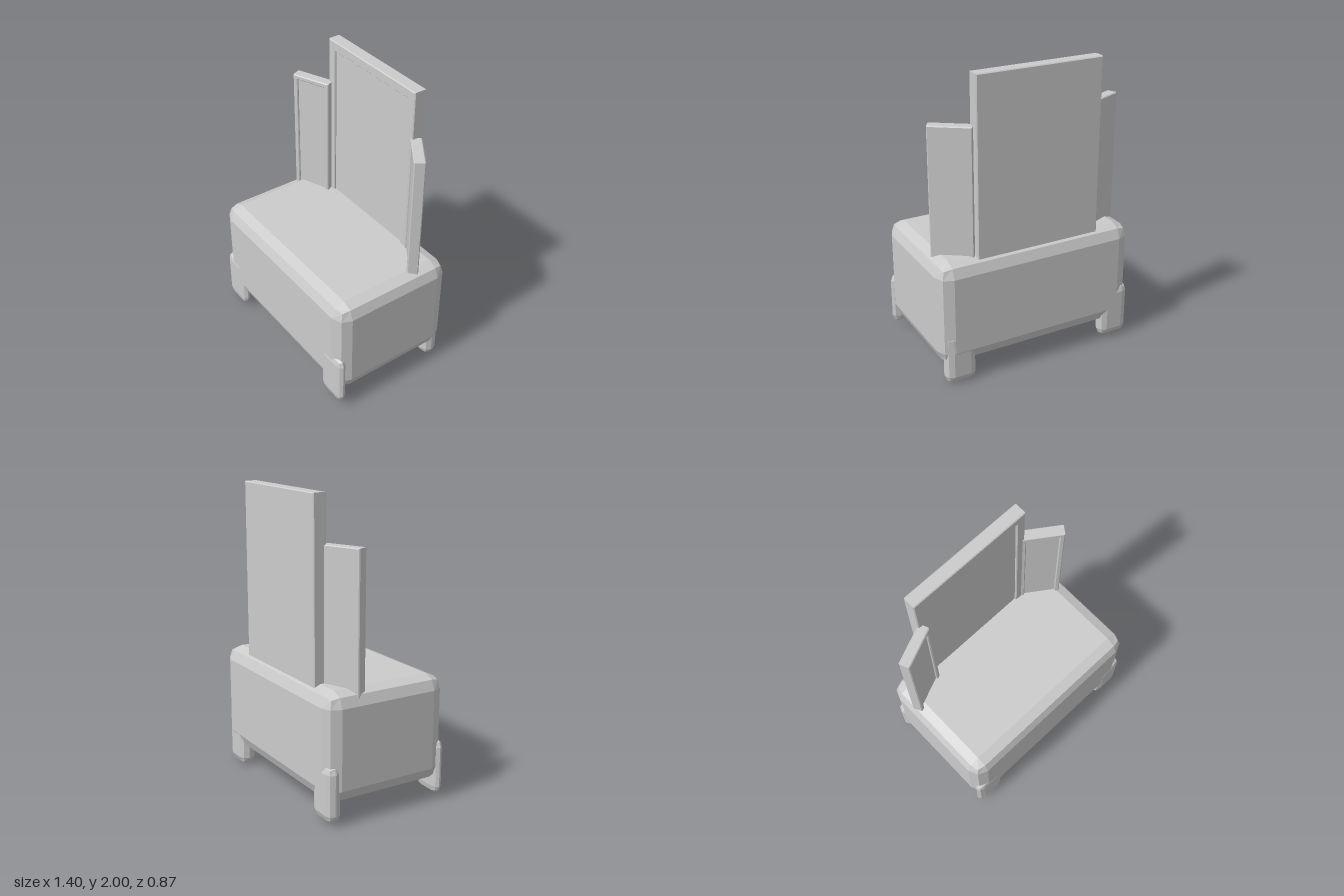
import * as THREE from 'three';
import { RoundedBoxGeometry } from 'three/addons/geometries/RoundedBoxGeometry.js';

const material = new THREE.MeshStandardMaterial({ color: 0xcccccc, flatShading: true });

function addMesh(parent, name, geometry, x = 0, y = 0, z = 0) {
  const mesh = new THREE.Mesh(geometry, material);
  mesh.name = name;
  mesh.position.set(x, y, z);
  parent.add(mesh);
  return mesh;
}

function rectangle(Type, x0, y0, x1, y1) {
  return new Type([[x0, y0], [x1, y0], [x1, y1], [x0, y1]].map(([x, y]) => new THREE.Vector2(x, y)));
}

// Upright mirror: a bevelled frame around a slightly recessed glass slab
function addMirror(parent, name, { x, z, width, top, depth, rim, angle = 0 }) {
  const bottom = 0.68, bevel = 0.006, recess = 0.014;
  const half = width / 2;
  const mirror = new THREE.Group();
  mirror.name = name;
  mirror.position.set(x, 0, z);
  mirror.rotation.y = angle;

  const outline = rectangle(THREE.Shape, -half, bottom, half, top);
  outline.holes.push(rectangle(THREE.Path, -half + rim, bottom + rim, half - rim, top - rim));
  const frame = new THREE.ExtrudeGeometry(outline, {
    depth: depth - 2 * bevel, bevelSize: bevel, bevelThickness: bevel,
    bevelOffset: -bevel, bevelSegments: 1,
  });
  addMesh(mirror, name + 'Frame', frame, 0, 0, -depth / 2 + bevel);

  const glass = new THREE.BoxGeometry(
    width - 2 * rim + 2 * bevel, top - bottom - 2 * rim + 2 * bevel, depth - recess);
  addMesh(mirror, name + 'Glass', glass, 0, (top + bottom) / 2, -recess / 2);
  parent.add(mirror);
}

export function createModel() {
  const model = new THREE.Group();
  model.name = 'mirrorDresser';

  // Cabinet with broad two-step bevels
  addMesh(model, 'cabinet', new RoundedBoxGeometry(1.4, 0.71, 0.87, 1, 0.093), 0, 0.485, 0);

  // Feet wrap the corners at slightly uneven heights
  const feet = [
    ['frontRightFoot', -0.593, 0.03, 0.407, 0.062],
    ['frontLeftFoot', 0.593, 0.05, 0.407, 0.062],
    ['backRightFoot', -0.596, 0.02, -0.385, 0.1],
    ['backLeftFoot', 0.56, 0, -0.378, 0.11],
  ];
  for (const [name, x, bottom, z, thickness] of feet) {
    const geometry = new RoundedBoxGeometry(0.214, 0.37, 0.11, 1, 0.05);
    geometry.scale(1, 1, thickness / 0.11);
    addMesh(model, name, geometry, x, bottom + 0.185, z);
  }

  // Tall centre mirror with two angled wings
  addMirror(model, 'centreMirror',
    { x: -0.016, z: -0.343, width: 0.87, top: 2, depth: 0.088, rim: 0.066 });
  addMirror(model, 'rightMirror',
    { x: -0.543, z: -0.237, width: 0.276, top: 1.693, depth: 0.073, rim: 0.033, angle: 0.396 });
  addMirror(model, 'leftMirror',
    { x: 0.527, z: -0.255, width: 0.276, top: 1.677, depth: 0.073, rim: 0.033, angle: -0.61 });

  return model;
}
